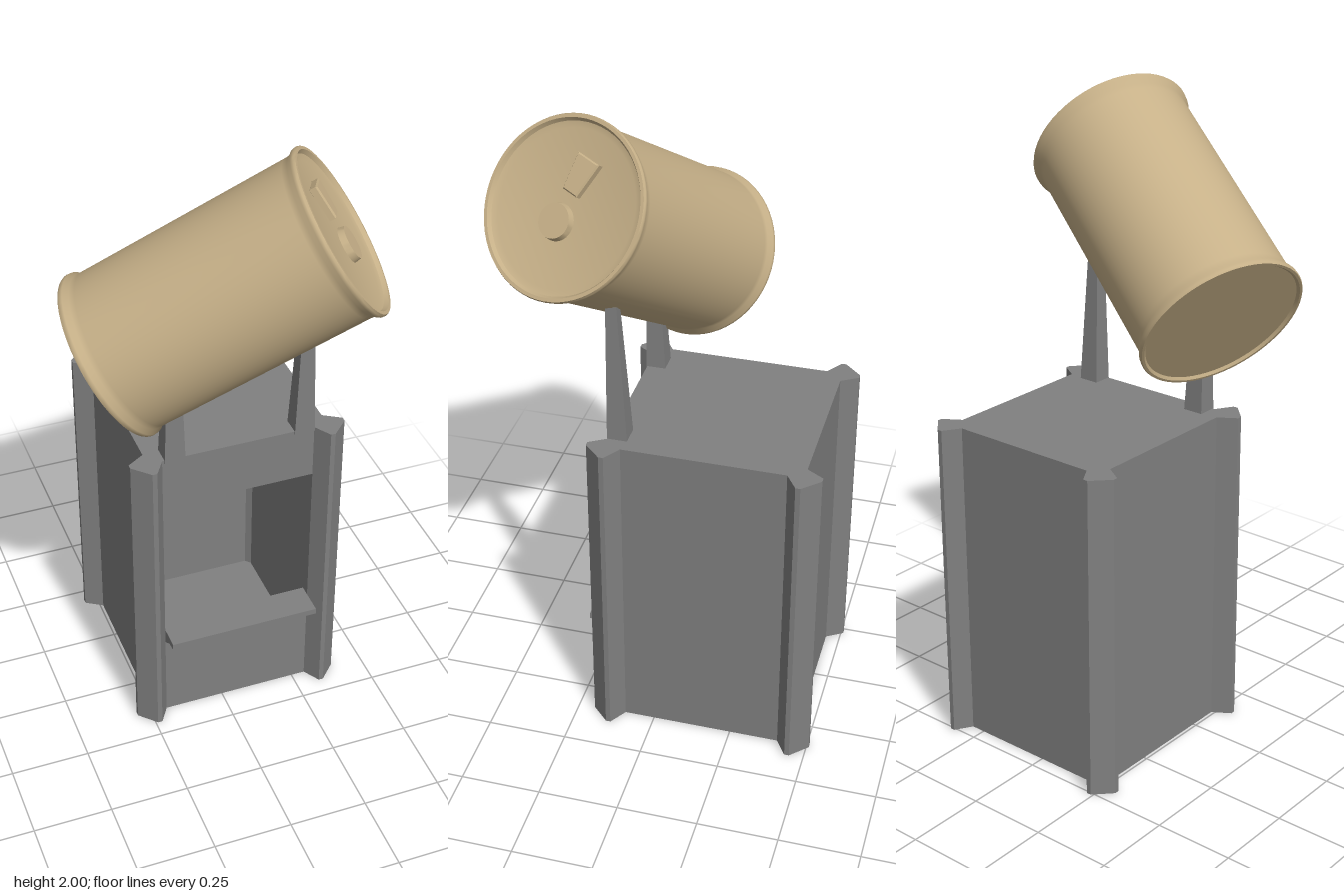
import * as THREE from 'three';
import { toCreasedNormals } from 'three/addons/utils/BufferGeometryUtils.js';

const stone = new THREE.MeshStandardMaterial({ color: 0x808080, flatShading: true });
const tan = new THREE.MeshStandardMaterial({ color: 0xc6b088 });

// booth limits: sides, back/front, height
const X0 = -0.24, X1 = 0.34, Z0 = -0.455, Z1 = 0.145, H = 1.03, T = 0.015;
const CX = (X0 + X1) / 2;

function add(parent, name, geometry, material = stone) {
  const mesh = new THREE.Mesh(geometry, material);
  mesh.name = name;
  parent.add(mesh);
  return mesh;
}

// box given by its limits on each axis
function block(parent, name, x0, x1, y0, y1, z0, z1) {
  const g = new THREE.BoxGeometry(x1 - x0, y1 - y0, z1 - z0);
  g.translate((x0 + x1) / 2, (y0 + y1) / 2, (z0 + z1) / 2);
  return add(parent, name, g);
}

function extrude(points, depth) {
  const shape = new THREE.Shape(points.map(([x, y]) => new THREE.Vector2(x, y)));
  return new THREE.ExtrudeGeometry(shape, { depth, bevelEnabled: false });
}

function createBooth() {
  const booth = new THREE.Group();
  booth.name = 'booth';

  // hollow shell
  block(booth, 'floor', X0, X1, 0, T, Z0, Z1);
  block(booth, 'roof', X0, X1, H - T, H, Z0, Z1);
  block(booth, 'backWall', X0, X1, T, H - T, Z0, Z0 + T);
  block(booth, 'rightWall', X0, X0 + T, T, H - T, Z0 + T, Z1);
  block(booth, 'leftWall', X1 - T, X1, T, H - T, Z0 + T, Z1);
  block(booth, 'frontPanel', X0 + T, X1 - T, T, 0.32, Z1 - T, Z1);
  block(booth, 'header', X0 + T, X1 - T, 0.85, H - T, Z1 - T, Z1);

  // corner posts, one plan mirrored to all four corners
  const plan = [[0, -0.05], [0.055, -0.015], [0.055, 0], [0.003, 0.053], [-0.012, 0.053], [-0.045, 0]];
  for (const sx of [-1, 1]) {
    for (const sz of [-1, 1]) {
      const cx = sx < 0 ? X0 : X1, cz = sz < 0 ? Z0 : Z1;
      const g = extrude(plan.map(([u, v]) => [cx + sx * u, -(cz + sz * v)]), H);
      add(booth, 'cornerPost', g.rotateX(-Math.PI / 2));
    }
  }

  // serving counter with a sloping underside: profile in (-z, y), swept along x
  const ledge = extrude([[-0.11, 0.35], [-0.22, 0.35], [-0.22, 0.33], [-0.185, 0.325], [-0.15, 0.3], [-0.11, 0.3]], 0.49);
  ledge.rotateY(Math.PI / 2).translate(CX - 0.245, 0, 0);
  add(booth, 'counter', ledge);

  // tapering props that hold the can
  for (const [x, top] of [[-0.155, 1.22], [0.263, 1.47]]) {
    const h = top - H + 0.01;
    const taper = 1 - 0.47 * (h / 0.45);
    const g = new THREE.BoxGeometry(0.066, h, 0.062).translate(0, h / 2, -0.031);
    const p = g.attributes.position;
    for (let i = 0; i < p.count; i++) {
      if (p.getY(i) > h / 2) {
        p.setX(i, p.getX(i) * taper);
        p.setZ(i, p.getZ(i) * taper);
      }
    }
    add(booth, 'canProp', g).position.set(x, H - 0.01, Z1 + 0.003);
  }
  return booth;
}

function createCan() {
  const can = new THREE.Group();
  can.name = 'drinkCan';
  const L = 0.78;

  // body with flared rims and a sunken lid
  const profile = [
    [0.0005, 0.008], [0.245, 0.008], [0.252, 0], [0.26, 0], [0.263, 0.006], [0.262, 0.016], [0.251, 0.032],
    [0.25, 0.05], [0.25, L - 0.05], [0.251, L - 0.032], [0.262, L - 0.016], [0.263, L - 0.006],
    [0.26, L], [0.25, L], [0.243, L - 0.012], [0.225, L - 0.018], [0.0005, L - 0.014],
  ].map(([r, y]) => new THREE.Vector2(r, y));
  add(can, 'canBody', toCreasedNormals(new THREE.LatheGeometry(profile, 64), 0.7), tan);

  // pull tab: a round pad and a wedge-shaped tongue
  const pad = new THREE.CylinderGeometry(0.05, 0.055, 0.025, 32);
  add(can, 'tabPad', toCreasedNormals(pad, 0.6), tan).position.set(0, L - 0.008, -0.042);

  const shape = new THREE.Shape();
  shape.moveTo(-0.023, -0.05).lineTo(0.023, -0.05).lineTo(0.036, 0.05).lineTo(-0.036, 0.05);
  const tongue = new THREE.ExtrudeGeometry(shape, {
    depth: 0.018, bevelEnabled: true, bevelThickness: 0.005, bevelSize: 0.004, bevelSegments: 1,
  });
  tongue.rotateX(Math.PI / 2);
  add(can, 'tabTongue', toCreasedNormals(tongue, 0.6), tan).position.set(0, L + 0.002, 0.1);

  // tilt: y runs along the can, z points from the lid centre to the tongue
  const y = new THREE.Vector3(0.615, 0.42, 0.23).normalize();
  const z = new THREE.Vector3(-0.31, 0.87, -0.37);
  z.addScaledVector(y, -z.dot(y)).normalize();
  const x = new THREE.Vector3().crossVectors(y, z);
  can.quaternion.setFromRotationMatrix(new THREE.Matrix4().makeBasis(x, y, z));
  can.position.set(-0.308, 1.36, 0.025);
  return can;
}

export function createModel() {
  const model = new THREE.Group();
  model.name = 'drinkStand';
  model.add(createBooth(), createCan());
  return model;
}
